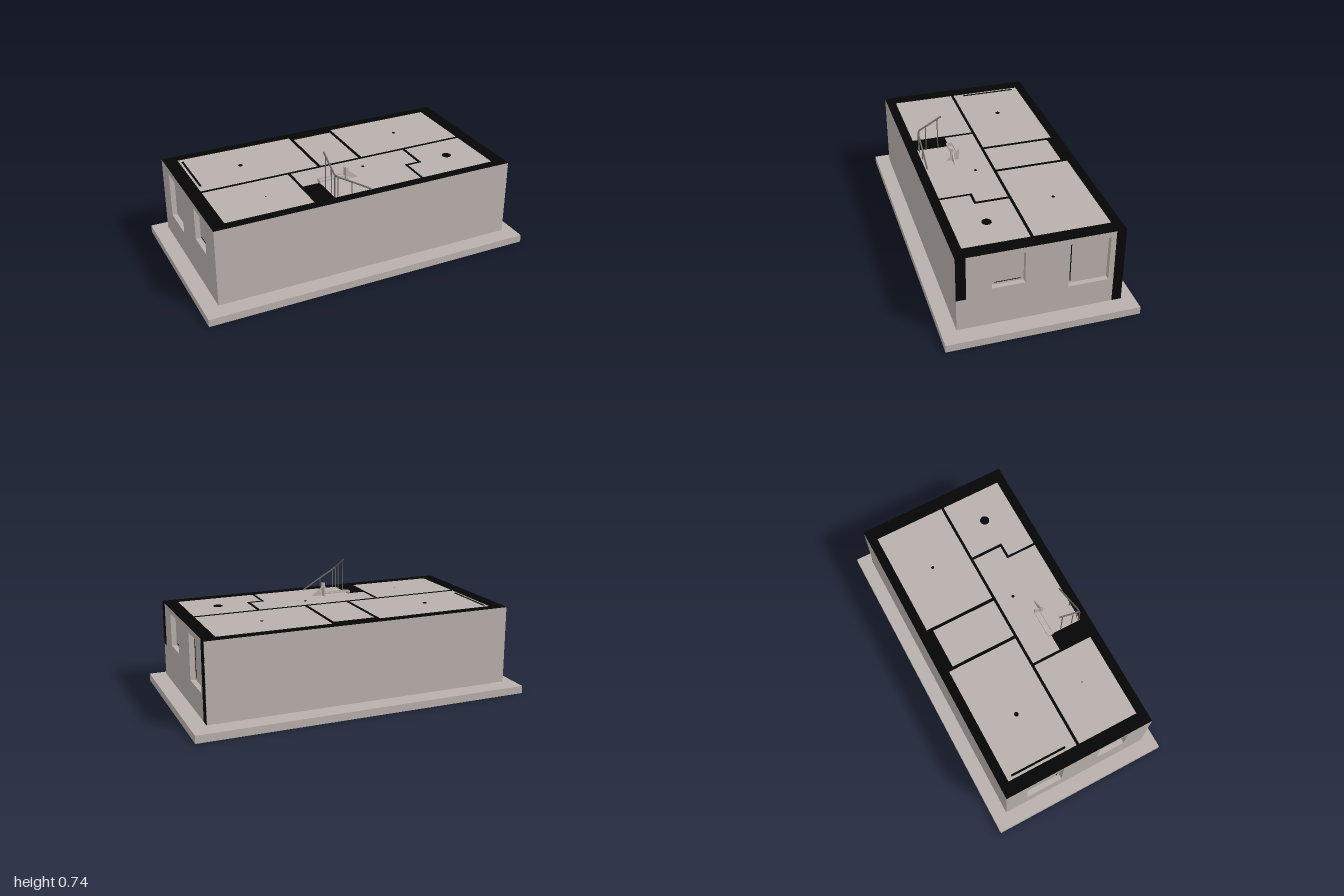
import * as THREE from 'three';

const mat = (name, color) => {
  const m = new THREE.MeshStandardMaterial({ color });
  m.name = name;
  return m;
};

export function createModel() {
  const house = new THREE.Group();
  house.name = 'houseStorey';
  const plaster = mat('warm grey plaster', 0xb8b0ac);
  const black = mat('black section cut', 0x050505);
  const metal = mat('grey railing', 0x6c6865);

  const add = (name, geo, material, parent = house) => {
    const m = new THREE.Mesh(geo, material);
    m.name = name;
    parent.add(m);
    return m;
  };
  // Box from its minimum and maximum corners
  const box = (name, x0, x1, y0, y1, z0, z1, material, parent) => {
    const g = new THREE.BoxGeometry(x1 - x0, y1 - y0, z1 - z0);
    g.translate((x0 + x1) / 2, (y0 + y1) / 2, (z0 + z1) / 2);
    return add(name, g, material, parent);
  };
  // Rectangle outline for shapes and holes
  const rect = (x0, x1, y0, y1, Type = THREE.Path) => {
    const s = new Type();
    s.moveTo(x0, y0);
    s.lineTo(x1, y0);
    s.lineTo(x1, y1);
    s.lineTo(x0, y1);
    s.closePath();
    return s;
  };
  // Horizontal plate with a rectangular hole [x0, x1, z0, z1]
  const plate = (name, hx, hz, hole, y, h, material) => {
    const s = rect(-hx, hx, -hz, hz, THREE.Shape);
    s.holes.push(rect(hole[0], hole[1], -hole[3], -hole[2]));
    const g = new THREE.ExtrudeGeometry(s, { depth: h, bevelEnabled: false });
    g.rotateX(-Math.PI / 2);
    g.translate(0, y, 0);
    return add(name, g, material);
  };

  // Base: a sheet with skirts, open underneath
  const stairHole = [-0.215, 0.33, 0.24, 0.405];
  plate('baseTop', 1, 0.547, [-0.85, 0.85, -0.41, 0.41], 0.041, 0.004, plaster);
  for (const s of [-1, 1]) {
    const x = s * 0.998, z = s * 0.545;
    box('baseSkirtEnd', x - 0.002, x + 0.002, 0, 0.045, -0.547, 0.547, plaster);
    box('baseSkirtSide', -1, 1, 0, 0.045, z - 0.002, z + 0.002, plaster);
  }

  // Floor with its dark underside and the stair opening
  plate('floorUnderside', 0.85, 0.41, stairHole, 0.042, 0.003, black);
  plate('floor', 0.855, 0.43, stairHole, 0.045, 0.017, plaster);
  box('floorEdgeGap', 0.85, 0.857, 0.049, 0.054, 0.03, 0.425, black);
  box('floorEdgeGapFront', -0.3, -0.2, 0.049, 0.056, 0.425, 0.432, black);

  // Lining of the stair opening
  const [a0, a1, b0, b1] = stairHole, t = 0.006;
  box('stairwellFront', a0 - t, a1 + t, 0.05, 0.25, b1, b1 + t, plaster);
  box('stairwellBack', a0 - t, a1 + t, 0.05, 0.25, b0 - t, b0, plaster);
  box('stairwellLeft', a1, a1 + t, 0.05, 0.25, b0, b1, plaster);
  box('stairwellRight', a0 - t, a0, 0.05, 0.25, b0, b1, plaster);
  box('stairwellTop', a0 - t, a1 + t, 0.25, 0.256, b0 - t, b1 + t, plaster);

  // Long outer walls and ceiling
  for (const s of [-1, 1])
    box('longWall', -0.885, 0.885, 0.06, 0.52, s * 0.45 - 0.015, s * 0.45 + 0.015, plaster);
  box('ceiling', -0.885, 0.885, 0.5, 0.52, -0.435, 0.435, plaster);

  // End walls with recessed windows: [z0, z1, y0, y1]
  const ends = {
    1: [[0.09, 0.27, 0.295, 0.49], [-0.38, -0.152, 0.212, 0.485]],
    [-1]: [[0.13, 0.31, 0.295, 0.49], [-0.33, -0.1, 0.212, 0.485]],
  };
  for (const side of [1, -1]) {
    const s = rect(-0.465, 0.465, 0.06, 0.52, THREE.Shape);
    for (const [z0, z1, y0, y1] of ends[side])
      s.holes.push(side > 0 ? rect(-z1, -z0, y0, y1) : rect(z0, z1, y0, y1));
    const g = new THREE.ExtrudeGeometry(s, { depth: 0.03, bevelEnabled: false });
    g.rotateY(side * Math.PI / 2);
    g.translate(side * 0.885, 0, 0);
    add('endWall', g, plaster);
    box('windowPanes', side * 0.88 - 0.005, side * 0.88 + 0.005, 0.06, 0.51, -0.435, 0.435, plaster);
    // Thin shadow gaps around the panes
    const xa = side * 0.886 - 0.001, xb = xa + 0.002;
    const [[p0, p1, q0, q1], [r0, r1, s0, s1]] = ends[side];
    for (const y of [q0 + 0.012, q1 - 0.014])
      box('paneGap', xa, xb, y, y + 0.003, p0 + 0.018, p1 - 0.018, black);
    box('paneGap', xa, xb, s0 + 0.015, s1 - 0.015, r1 - 0.021, r1 - 0.016, black);
    box('paneGap', xa, xb, s1 - 0.016, s1 - 0.014, r0 + 0.012, r1 - 0.015, black);
  }

  // Open wall ends at the corners
  box('cornerCutFront', 0.913, 0.916, 0.255, 0.52, 0.41, 0.465, black);
  box('cornerCutBack', 0.913, 0.916, 0.06, 0.52, -0.465, -0.41, black);

  // Cut tops of the walls: [x0, x1, z0, z1]
  const cuts = new THREE.Group();
  cuts.name = 'wallTops';
  house.add(cuts);
  const tops = [
    [-0.915, 0.915, -0.465, -0.41], [-0.915, 0.915, 0.41, 0.465],
    [-0.915, -0.835, -0.41, 0.41], [0.835, 0.915, -0.41, 0.41],
    [-0.835, 0.835, 0.022, 0.038],
    [-0.118, -0.1, -0.41, 0.022], [0.15, 0.168, -0.41, 0.022],
    [-0.1, 0.15, -0.41, -0.378],
    [-0.315, -0.3, 0.038, 0.22], [-0.315, -0.195, 0.215, 0.41],
    [0.44, 0.456, 0.038, 0.236], [0.353, 0.456, 0.222, 0.236],
    [0.353, 0.366, 0.236, 0.41], [-0.82, -0.808, -0.38, -0.04],
  ];
  for (const [x0, x1, z0, z1] of tops)
    box('wallTop', x0, x1, 0.519, 0.522, z0, z1, black, cuts);

  // Round ceiling openings: [x, z, radius]
  for (const [x, z, r] of [[-0.52, -0.19, 0.013], [0.51, -0.2, 0.009],
    [0.12, 0.135, 0.009], [0.64, 0.22, 0.028], [-0.53, 0.23, 0.003]]) {
    const g = new THREE.CylinderGeometry(r, r, 0.003, 16);
    add('ceilingOpening', g.translate(x, 0.5205, z), black);
  }

  // Stair railing rising through the ceiling
  const railing = new THREE.Group();
  railing.name = 'stairRailing';
  house.add(railing);
  const rod = (name, a, b, r) => {
    const curve = new THREE.LineCurve3(new THREE.Vector3(...a), new THREE.Vector3(...b));
    add(name, new THREE.TubeGeometry(curve, 1, r, 8), metal, railing);
  };
  const handrail = new THREE.CatmullRomCurve3([
    [0.035, 0.52, 0.4], [-0.08, 0.588, 0.4], [-0.175, 0.643, 0.4],
    [-0.189, 0.656, 0.394], [-0.19, 0.667, 0.375], [-0.19, 0.7, 0.315], [-0.19, 0.732, 0.258],
  ].map((p) => new THREE.Vector3(...p)));
  add('handrail', new THREE.TubeGeometry(handrail, 40, 0.005, 8), metal, railing);
  rod('cornerPost', [-0.19, 0.52, 0.4], [-0.19, 0.65, 0.4], 0.004);
  for (const [x, y, z] of [[-0.19, 0.672, 0.355], [-0.19, 0.714, 0.283],
    [-0.17, 0.64, 0.4], [-0.085, 0.59, 0.4]])
    rod('baluster', [x, 0.52, z], [x, y, z], 0.003);

  // Upper ends of the stair: low rails, newel and sloping stringers
  for (const z of [0.195, 0.228])
    box('landingRail', -0.2, -0.035, 0.534, 0.542, z - 0.003, z + 0.003, plaster, railing);
  box('landingEnd', -0.2, -0.194, 0.52, 0.542, 0.195, 0.228, plaster, railing);
  box('newelPost', -0.045, -0.028, 0.52, 0.597, 0.226, 0.245, plaster, railing);
  const stringer = (turn, x, z, w, h) => {
    const s = new THREE.Shape([[0, 0], [w, 0], [0, h]].map((p) => new THREE.Vector2(...p)));
    const g = new THREE.ExtrudeGeometry(s, { depth: 0.008, bevelEnabled: false });
    g.rotateY(turn);
    add('stringer', g.translate(x, 0.52, z), plaster, railing);
  };
  stringer(0, -0.03, 0.228, 0.068, 0.055);
  stringer(-Math.PI / 2, -0.028, 0.195, 0.075, 0.065);

  return house;
}
